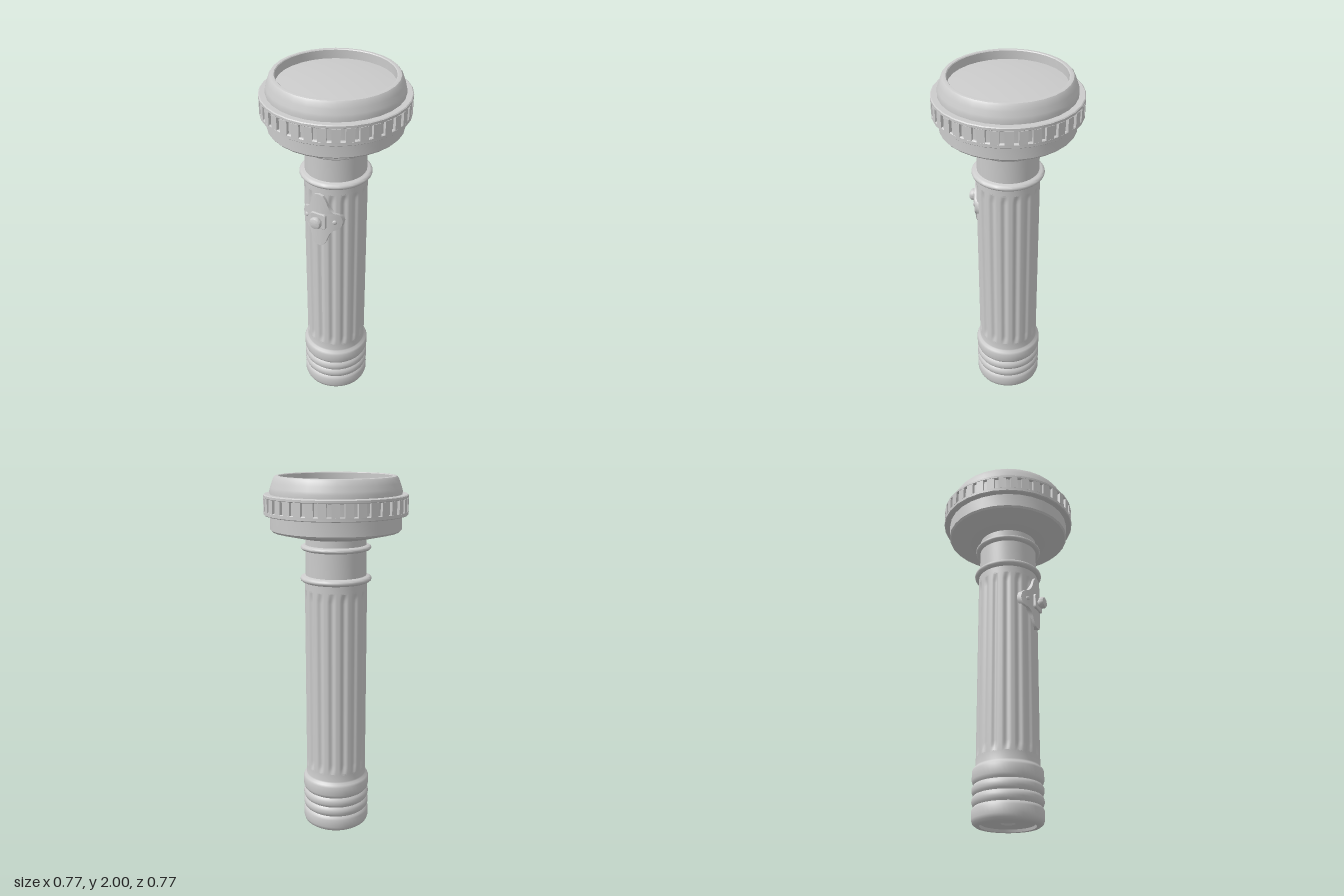
import * as THREE from 'three';
import { toCreasedNormals } from 'three/addons/utils/BufferGeometryUtils.js';

const SIDES = 30;
const BODY_R = 0.17;
const SWITCH_Y = 1.24;
const material = new THREE.MeshStandardMaterial({ color: 0xcccccc });

function add(parent, name, geometry) {
  const mesh = new THREE.Mesh(geometry, material);
  mesh.name = name;
  parent.add(mesh);
  return mesh;
}

// Turned part from [radius, y] pairs, listed so the outside runs upward
function turned(profile, sides = SIDES, crease = 0.55) {
  const points = profile.map(([r, y]) => new THREE.Vector2(r, y));
  const geometry = new THREE.LatheGeometry(points, sides);
  geometry.rotateY(Math.PI / sides);
  return toCreasedNormals(geometry, crease);
}

// Half-round bead as profile points
function bead(r, y, depth, half) {
  return Array.from({ length: 9 }, (_, i) => {
    const a = -Math.PI / 2 + (i / 8) * Math.PI;
    return [r + depth * Math.cos(a), y + half * Math.sin(a)];
  });
}

// Barrel grip with shallow grooves that fade out at both ends
function flutedBarrel(bottom, top, flutes) {
  const height = top - bottom;
  const geometry = new THREE.CylinderGeometry(BODY_R, BODY_R, height, flutes * 10, 52, true);
  geometry.translate(0, bottom + height / 2, 0);
  const p = geometry.attributes.position;
  for (let i = 0; i < p.count; i++) {
    const x = p.getX(i), y = p.getY(i), z = p.getZ(i);
    const wave = Math.cos(Math.atan2(x, z) * flutes);
    const fade = THREE.MathUtils.smoothstep(Math.min(y - bottom, top - y), 0, 0.04);
    const s = 1 - (0.009 * fade * Math.max(0, wave + 0.1)) / BODY_R;
    p.setXYZ(i, x * s, y, z * s);
  }
  geometry.computeVertexNormals();
  return geometry;
}

// Four-lobed switch plate wrapped around the barrel, built row by row
function switchPlate() {
  const half = [[0.004, 0.16], [0.026, 0.153], [0.041, 0.13], [0.05, 0.1], [0.06, 0.075],
    [0.078, 0.055], [0.1, 0.047], [0.114, 0.03], [0.12, 0]];
  const upper = half.slice(0, -1).map(([w, y]) => [w, -y]).reverse();
  const rows = [...half, ...upper].reverse();
  const columns = 16;
  const across = [-1, ...Array.from({ length: columns + 1 }, (_, i) => -1 + (2 * i) / columns), 1];
  const positions = [], index = [];
  const addRow = (w, y, sunk) => across.forEach((u, i) => {
    const x = u * w;
    const edge = sunk || i === 0 || i === across.length - 1;
    positions.push(x, SWITCH_Y + y, Math.sqrt(BODY_R ** 2 - x * x) + (edge ? -0.012 : 0.015));
  });
  addRow(...rows[0], true);
  rows.forEach(([w, y]) => addRow(w, y, false));
  addRow(...rows[rows.length - 1], true);
  const n = across.length;
  for (let r = 0; r < rows.length + 1; r++) {
    for (let c = 0; c < n - 1; c++) {
      const a = r * n + c;
      index.push(a, a + 1, a + n, a + 1, a + n + 1, a + n);
    }
  }
  const geometry = new THREE.BufferGeometry();
  geometry.setAttribute('position', new THREE.Float32BufferAttribute(positions, 3));
  geometry.setIndex(index);
  return toCreasedNormals(geometry, 0.6);
}

export function createModel() {
  const model = new THREE.Group();
  model.name = 'flashlight';

  // Ribbed end cap with a recessed, dimpled underside
  add(model, 'endCap', turned([
    [0, 0.022], [0.03, 0.022], [0.038, 0.014], [0.045, 0.014], [0.142, 0.014], [0.147, 0],
    [0.168, 0], [0.183, 0.012], [0.189, 0.03], [0.189, 0.075], [0.184, 0.087], [0.177, 0.095], [0.184, 0.103],
    [0.189, 0.118], [0.189, 0.132], [0.184, 0.145], [0.177, 0.152], [0.184, 0.16],
    [0.189, 0.172], [0.189, 0.19], [0.184, 0.202], [0.177, 0.21], [0.184, 0.218],
    [0.189, 0.232], [0.189, 0.28], [0.184, 0.293], [0.172, 0.302], [BODY_R, 0.31], [BODY_R, 0.355],
  ], 48, 0.7));

  // Grip and neck
  add(model, 'barrel', flutedBarrel(0.35, 1.4, 16));
  add(model, 'neck', turned([
    [BODY_R, 1.395], [BODY_R, 1.437], ...bead(0.167, 1.455, 0.027, 0.018),
    [0.165, 1.474], [0.165, 1.608], ...bead(0.165, 1.624, 0.026, 0.015),
    [0.165, 1.64], [0.165, 1.69],
  ], 48, 0.7));

  // Lamp head: flared underside, waist under the grip ring, rolled bezel
  add(model, 'head', turned([
    [0.15, 1.68], [0.2, 1.68], [0.342, 1.712], [0.351, 1.722], [0.351, 1.8],
    [0.37, 1.8], [0.37, 1.9], [0.351, 1.905], [0.351, 1.925], [0.347, 1.94], [0.338, 1.965],
    [0.33, 1.988], [0.322, 1.998], [0.314, 2], [0.304, 2], [0.3, 1.996], [0.3, 1.93],
  ]));

  // Grip ring: two flanges with lands between the notches
  const ring = new THREE.Group();
  ring.name = 'gripRing';
  model.add(ring);
  for (const [name, y, h] of [['lowerFlange', 1.798, 0.024], ['upperFlange', 1.886, 0.02]]) {
    add(ring, name, turned([
      [0.35, y], [0.38, y], [0.385, y + 0.004], [0.385, y + h - 0.004], [0.38, y + h], [0.35, y + h],
    ]));
  }
  const notches = 36;
  for (let i = 0; i < notches; i++) {
    const a = (i / notches) * Math.PI * 2;
    const land = add(ring, 'land', new THREE.BoxGeometry(0.042, 0.07, 0.025));
    land.position.set(Math.sin(a) * 0.371, 1.853, Math.cos(a) * 0.371);
    land.rotation.y = a;
  }

  // Slightly domed lens
  add(model, 'lens', turned([
    [0.302, 1.95], [0.25, 1.956], [0.18, 1.962], [0.1, 1.966], [0, 1.968],
  ]));

  // Switch
  const control = new THREE.Group();
  control.name = 'switch';
  model.add(control);
  add(control, 'switchPlate', switchPlate());

  // Rounded square collar under the button
  const s = 0.046, c = 0.018;
  const square = new THREE.Shape();
  square.moveTo(-s + c, -s);
  square.lineTo(s - c, -s).quadraticCurveTo(s, -s, s, -s + c);
  square.lineTo(s, s - c).quadraticCurveTo(s, s, s - c, s);
  square.lineTo(-s + c, s).quadraticCurveTo(-s, s, -s, s - c);
  square.lineTo(-s, -s + c).quadraticCurveTo(-s, -s, -s + c, -s);
  const collar = add(control, 'buttonCollar', new THREE.ExtrudeGeometry(square, {
    depth: 0.03, bevelThickness: 0.004, bevelSize: 0.004, bevelOffset: -0.004, bevelSegments: 2, curveSegments: 6,
  }));
  collar.position.set(0, SWITCH_Y, 0.16);

  const button = add(control, 'button', turned([
    [0.02, 0], [0.02, 0.03], [0.03, 0.034], [0.034, 0.042], [0.034, 0.052], [0.029, 0.062], [0.017, 0.066], [0, 0.067],
  ], 24, 0.7));
  button.rotation.x = Math.PI / 2;
  button.position.set(0, SWITCH_Y, 0.168);

  // Rivets on the side ears, set square to the curved plate
  for (const side of [-1, 1]) {
    const a = side * Math.asin(0.085 / 0.183);
    const rivet = add(control, 'rivet', new THREE.SphereGeometry(0.013, 16, 10));
    rivet.scale.z = 0.5;
    rivet.rotation.y = a;
    rivet.position.set(Math.sin(a) * 0.184, SWITCH_Y, Math.cos(a) * 0.184);
  }

  return model;
}
